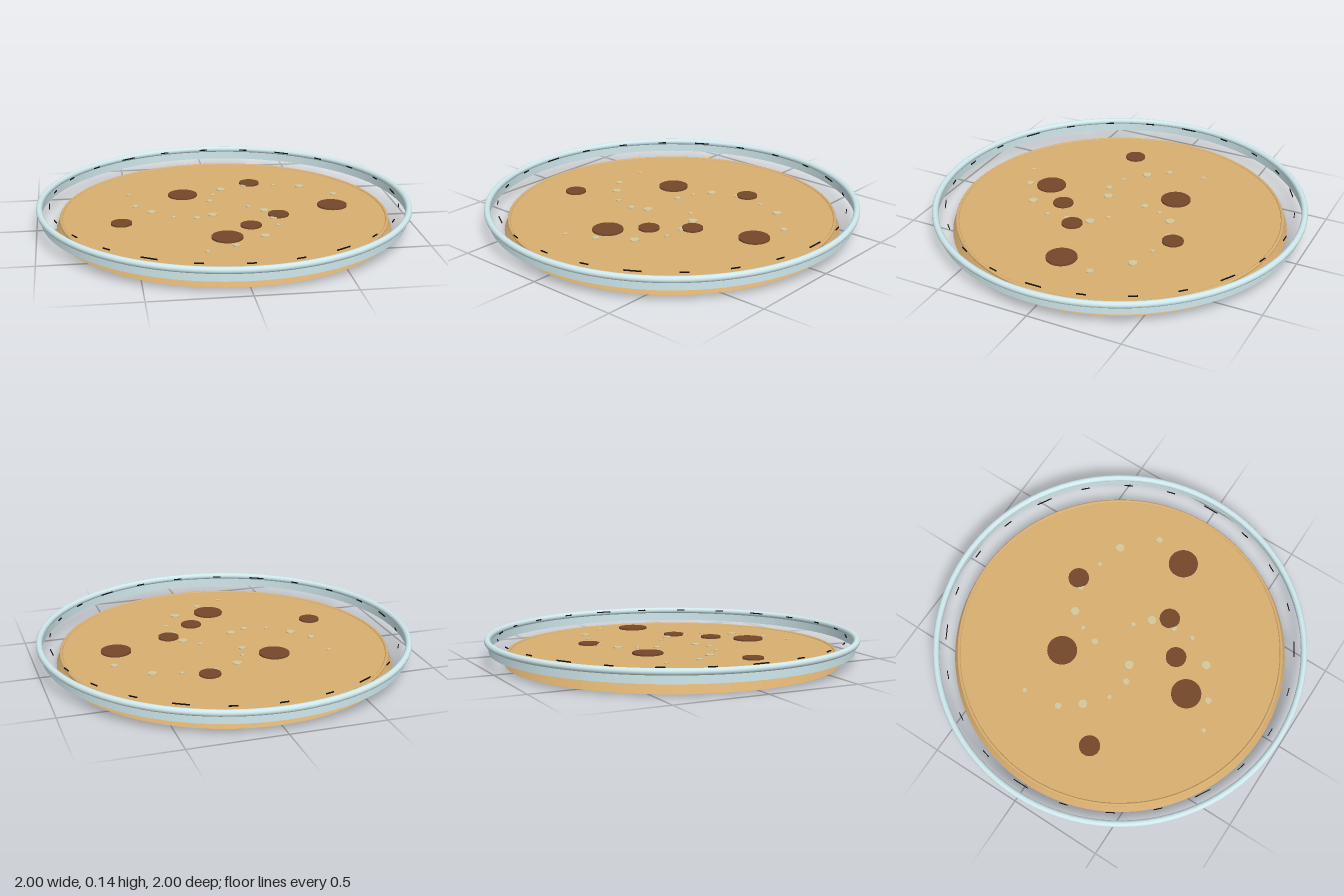
import * as THREE from 'three';

const mat = (color, extra = {}) => new THREE.MeshStandardMaterial({ color, ...extra });

export function createModel() {
  const model = new THREE.Group();
  const agar = mat(0xd8ae70);
  const glass = mat(0xcfe8ec, { side: THREE.DoubleSide });
  const brown = mat(0x74482a);
  const cream = mat(0xd6c79a);
  const black = mat(0x111111);

  const add = (name, geometry, material, x, y, z, parent = model) => {
    const mesh = new THREE.Mesh(geometry, material);
    mesh.name = name;
    mesh.position.set(x, y, z);
    parent.add(mesh);
    return mesh;
  };
  const group = (name) => {
    const g = new THREE.Group();
    g.name = name;
    model.add(g);
    return g;
  };
  const ring = (radius, tube) => new THREE.TorusGeometry(radius, tube, 16, 96).rotateX(Math.PI / 2);

  // Flared growth medium with a rounded upper edge
  add('mediumDisc', new THREE.CylinderGeometry(0.865, 0.897, 0.057, 96), agar, 0, 0.0285, 0);
  add('mediumEdge', ring(0.87, 0.009), agar, 0, 0.055, 0);

  // Thin dish wall with a beaded rim
  add('dishWall', new THREE.CylinderGeometry(0.976, 0.976, 0.062, 96, 1, true), glass, 0, 0.095, 0);
  add('dishRim', ring(0.982, 0.017), glass, 0, 0.123, 0);

  // Graduation marks around the inside of the rim, every fourth one long
  const marks = group('graduationMarks');
  for (let i = 0; i < 24; i++) {
    const a = (i / 24) * Math.PI * 2;
    const length = i % 4 === 0 ? 0.086 : 0.046;
    const mark = add('graduationMark', new THREE.BoxGeometry(0.004, 0.006, length), black,
      0.928 * Math.cos(a), 0.133, 0.928 * Math.sin(a), marks);
    mark.rotation.y = -a;
  }

  // Large colonies: x, z, radius
  const colonies = group('colonies');
  [
    [-0.2, -0.24, 0.08], [0.2, -0.4, 0.056], [0.585, 0.037, 0.08], [-0.56, 0.175, 0.055],
    [0.27, 0.147, 0.055], [0.1, 0.293, 0.055], [-0.045, 0.447, 0.08],
  ].forEach(([x, z, r]) =>
    add('colony', new THREE.CylinderGeometry(r, r, 0.009, 40), brown, x, 0.084, z, colonies));

  // Small pale specks: x, z, radius
  const specks = group('specks');
  [
    [-0.495, -0.28, 0.012], [-0.47, -0.083, 0.018], [-0.39, 0.02, 0.024], [-0.283, 0.118, 0.012],
    [-0.162, 0.145, 0.018], [-0.075, 0.107, 0.024], [-0.063, -0.12, 0.018], [-0.032, -0.218, 0.012],
    [0.025, -0.307, 0.024], [0.162, -0.36, 0.018], [0.332, -0.347, 0.012], [0.475, -0.307, 0.024],
    [0.635, -0.15, 0.018], [0.133, 0, 0.012], [0.208, 0.072, 0.024], [0.235, 0.195, 0.018],
    [0.24, 0.31, 0.012], [0.148, 0.453, 0.024], [-0.015, 0.565, 0.018], [-0.166, 0.63, 0.012],
  ].forEach(([x, z, r]) =>
    add('speck', new THREE.CylinderGeometry(r, r, 0.006, 12), cream, x, 0.083, z, specks));

  return model;
}
